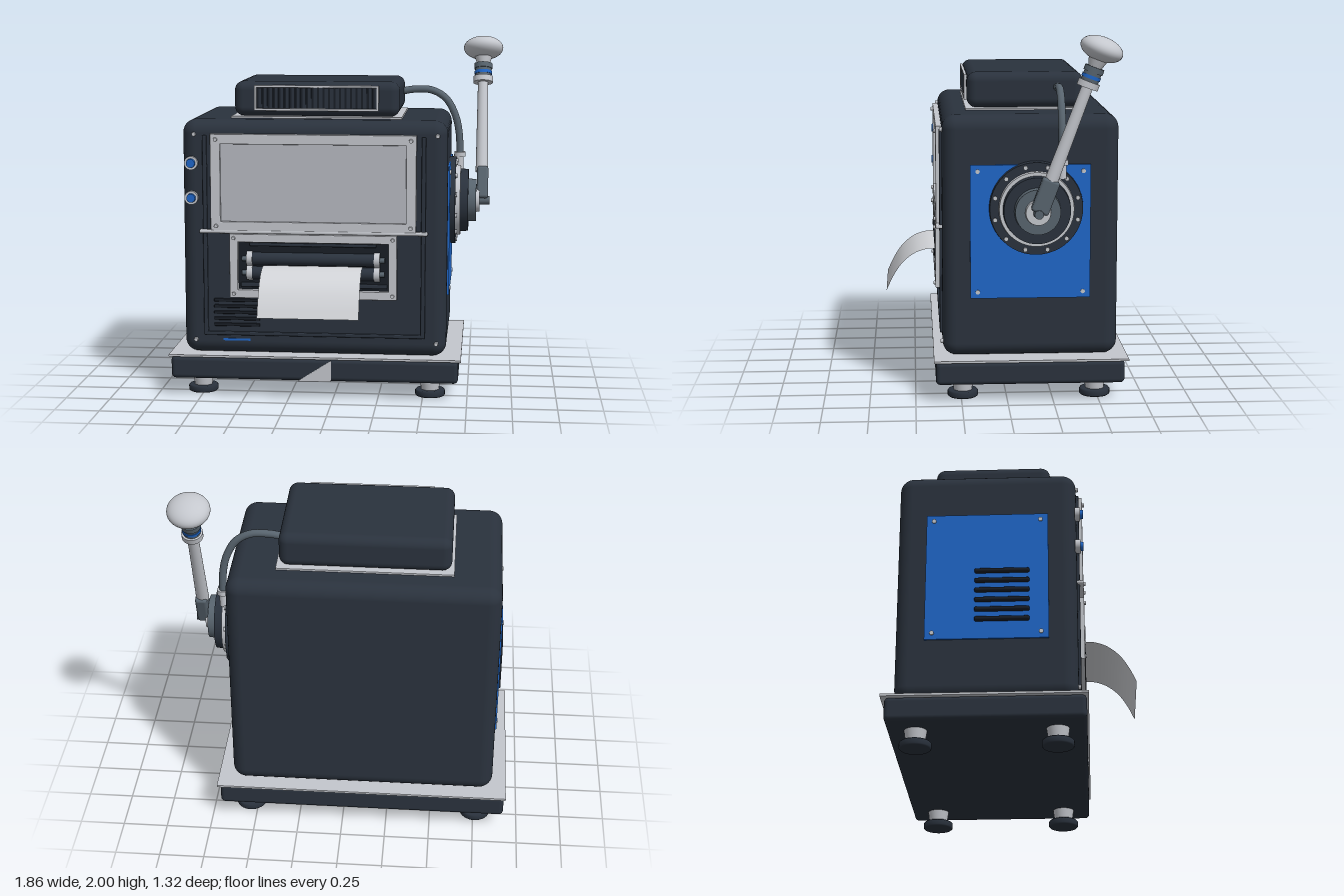
import * as THREE from 'three';
import { RoundedBoxGeometry } from 'three/addons/geometries/RoundedBoxGeometry.js';

const mat = (name, color) => {
  const m = new THREE.MeshStandardMaterial({ color });
  m.name = name;
  return m;
};

export function createModel() {
  const dark = mat('dark casing', 0x2a323d);
  const black = mat('recess black', 0x191e26);
  const light = mat('light metal', 0xc4c7cd);
  const screenGrey = mat('screen grey', 0xb6b9c0);
  const grey = mat('steel grey', 0x58646e);
  const blue = mat('blue', 0x1f66c8);
  const paper = mat('paper', 0xd2d4d8);
  paper.side = THREE.DoubleSide;

  const model = new THREE.Group();
  model.name = 'leverPrinter';

  const add = (name, geo, material, x = 0, y = 0, z = 0, parent = model) => {
    const m = new THREE.Mesh(geo, material);
    m.name = name;
    m.position.set(x, y, z);
    parent.add(m);
    return m;
  };
  // Box given by its limits, rounded when r > 0
  const box = (name, material, [x0, x1], [y0, y1], [z0, z1], r = 0) => {
    const s = [x1 - x0, y1 - y0, z1 - z0];
    const geo = r ? new RoundedBoxGeometry(...s, 5, r) : new THREE.BoxGeometry(...s);
    return add(name, geo, material, (x0 + x1) / 2, (y0 + y1) / 2, (z0 + z1) / 2);
  };
  // Cylinder along a chosen axis, centred on the given point
  const rod = (name, material, axis, r, len, x, y, z, parent = model, rEnd = r, seg = 32) => {
    const geo = new THREE.CylinderGeometry(rEnd, r, len, seg);
    if (axis === 'x') geo.rotateZ(-Math.PI / 2);
    if (axis === 'z') geo.rotateX(Math.PI / 2);
    return add(name, geo, material, x, y, z, parent);
  };
  // Rectangular frame facing the front
  const frame = (name, material, [x0, x1], [y0, y1], border, z, depth, bevel = 0.004) => {
    const rect = (Type, i) => new Type().setFromPoints([
      new THREE.Vector2(x0 + i, y0 + i), new THREE.Vector2(x1 - i, y0 + i),
      new THREE.Vector2(x1 - i, y1 - i), new THREE.Vector2(x0 + i, y1 - i)]);
    const shape = rect(THREE.Shape, bevel);
    shape.holes.push(rect(THREE.Path, border - bevel));
    return add(name, new THREE.ExtrudeGeometry(shape, {
      depth: depth - 2 * bevel, bevelEnabled: true, bevelSize: bevel, bevelThickness: bevel, bevelSegments: 2,
    }), material, 0, 0, z + bevel);
  };
  const boltsFront = (name, xs, ys, z, r = 0.013) => {
    for (const x of xs) for (const y of ys) rod(name, light, 'z', r, 0.016, x, y, z, model, r * 0.8, 12);
  };

  // Base, plate and feet
  box('base', dark, [-0.92, 0.70], [0.10, 0.228], [-0.64, 0.39], 0.025);
  box('basePlate', light, [-0.93, 0.715], [0.228, 0.24], [-0.66, 0.40]);
  for (const x of [-0.76, 0.54]) for (const z of [-0.49, 0.24]) {
    add('footPad', new THREE.LatheGeometry([[0, 0], [0.078, 0], [0.084, 0.006], [0.084, 0.03], [0.078, 0.037], [0, 0.037]]
      .map(p => new THREE.Vector2(...p)), 32), dark, x, 0, z);
    rod('footStem', light, 'y', 0.05, 0.07, x, 0.07, z, model, 0.06);
  }
  const wedge = new THREE.Shape([[-0.2, 0.1], [-0.01, 0.1], [-0.01, 0.222]].map(p => new THREE.Vector2(...p)));
  add('baseTriangle', new THREE.ExtrudeGeometry(wedge, { depth: 0.004, bevelEnabled: false }), light, 0, 0, 0.389);

  // Main casing and top housing
  box('casing', dark, [-0.85, 0.63], [0.24, 1.565], [-0.605, 0.35], 0.075);
  box('topGasket', light, [-0.59, 0.37], [1.56, 1.575], [-0.445, 0.215]);
  box('topHousing', dark, [-0.575, 0.355], [1.575, 1.77], [-0.435, 0.205], 0.05);
  box('topVentBack', black, [-0.455, 0.235], [1.612, 1.745], [0.2, 0.207]);
  frame('topVentFrame', light, [-0.46, 0.24], [1.607, 1.75], 0.013, 0.203, 0.016, 0.002);
  for (let i = 0; i < 22; i++) {
    const x = -0.435 + i * 0.031;
    box('topVentSlat', dark, [x, x + 0.019], [1.622, 1.735], [0.205, 0.215]);
  }

  // Raised trim around the front panel
  for (const x of [-0.72, 0.5]) box('frontTrimSide', dark, [x - 0.012, x + 0.012], [0.35, 1.48], [0.345, 0.364], 0.006);
  box('frontTrimBottom', dark, [-0.73, 0.51], [0.35, 0.37], [0.345, 0.364], 0.006);
  boltsFront('casingBolt', [-0.78, 0.575], [0.32, 1.485], 0.355);

  // Display window
  box('screen', screenGrey, [-0.65, 0.42], [0.98, 1.45], [0.345, 0.366]);
  frame('screenFrame', light, [-0.685, 0.46], [0.945, 1.49], 0.056, 0.345, 0.037);
  boltsFront('screenBolt', [-0.655, 0.43], [0.975, 1.46], 0.385);
  box('shelfStrip', light, [-0.75, 0.525], [0.934, 0.954], [0.345, 0.384], 0.008);

  // Paper slot with rollers
  box('slotBack', black, [-0.54, 0.315], [0.61, 0.9], [0.345, 0.353]);
  frame('slotFrame', light, [-0.58, 0.355], [0.57, 0.932], 0.046, 0.345, 0.04);
  boltsFront('slotBolt', [-0.557, 0.332], [0.593, 0.909], 0.387, 0.012);
  box('slotBar', dark, [-0.47, 0.24], [0.862, 0.88], [0.35, 0.366], 0.006);
  box('slotLowerBar', dark, [-0.52, 0.3], [0.63, 0.655], [0.35, 0.366], 0.006);
  for (const y of [0.79, 0.71]) {
    rod('roller', dark, 'x', 0.036, 0.69, -0.113, y, 0.352);
    rod('rollerAxle', grey, 'x', 0.015, 0.8, -0.113, y, 0.358);
    for (const x of [-0.47, 0.244]) rod('rollerCap', light, 'x', 0.042, 0.032, x, y, 0.348);
  }

  // Curling sheet of paper
  const curl = new THREE.CatmullRomCurve3([[0.755, 0.37], [0.752, 0.43], [0.728, 0.5], [0.672, 0.57], [0.595, 0.622], [0.515, 0.66]]
    .map(([y, z]) => new THREE.Vector3(0, y, z)));
  const sheet = new THREE.PlaneGeometry(0.555, 1, 1, 20);
  const sp = sheet.attributes.position;
  for (let i = 0; i < sp.count; i++) {
    const p = curl.getPoint(0.5 - sp.getY(i));
    sp.setXYZ(i, sp.getX(i) - 0.112, p.y, p.z);
  }
  sheet.computeVertexNormals();
  add('paperSheet', sheet, paper);

  // Front louvres, blue strip and buttons
  for (let i = 0; i < 5; i++) {
    const y = 0.41 + i * 0.035;
    box('frontLouvre', black, [-0.675, -0.415], [y - 0.009, y + 0.009], [0.345, 0.36], 0.005);
  }
  box('blueStrip', blue, [-0.625, -0.47], [0.318, 0.33], [0.346, 0.354]);
  for (const y of [1.13, 1.325]) {
    rod('buttonBezel', light, 'z', 0.038, 0.03, -0.795, y, 0.357);
    rod('button', blue, 'z', 0.028, 0.035, -0.795, y, 0.37, model, 0.024);
  }

  // Blue side plates with bolts
  for (const [x, s] of [[0.63, 1], [-0.85, -1]]) {
    box('sidePlate', blue, [x - 0.01, x + 0.01], [0.57, 1.30], [-0.45, 0.20]);
    for (const y of [0.605, 1.265]) for (const z of [-0.41, 0.16])
      rod('sidePlateBolt', light, 'x', 0.012, 0.014, x + s * 0.01, y, z, model, 0.012, 12);
  }
  for (let i = 0; i < 6; i++) {
    const y = 0.68 + i * 0.056;
    box('sideLouvre', black, [-0.88, -0.85], [y - 0.012, y + 0.012], [-0.19, 0.10], 0.01);
  }

  // Stepped lever hub
  const hub = new THREE.Group();
  hub.name = 'leverHub';
  hub.position.set(0, 1.065, -0.155);
  model.add(hub);
  for (const [name, m, r, x0, x1] of [
    ['hubFlange', dark, 0.255, 0.63, 0.668], ['hubRing', light, 0.205, 0.66, 0.695],
    ['hubDrum', dark, 0.183, 0.69, 0.74], ['hubStep', grey, 0.125, 0.735, 0.785],
    ['hubCap', light, 0.07, 0.78, 0.805], ['hubPin', grey, 0.028, 0.8, 0.862]])
    rod(name, m, 'x', r, x1 - x0, (x0 + x1) / 2, 0, 0, hub, r - 0.004, 48);
  for (let i = 0; i < 12; i++) {
    const a = (i + 0.5) * Math.PI / 6;
    rod('hubBolt', light, 'x', 0.012, 0.014, 0.671, 0.23 * Math.cos(a), 0.23 * Math.sin(a), hub, 0.012, 12);
  }

  // Lever, leaning backwards
  const lever = new THREE.Group();
  lever.name = 'lever';
  lever.position.set(0.815, 1.065, -0.155);
  lever.rotation.x = -0.36;
  model.add(lever);
  add('leverSocket', new RoundedBoxGeometry(0.066, 0.19, 0.096, 4, 0.016), grey, 0.005, 0.1, 0, lever);
  rod('leverShaft', light, 'y', 0.036, 0.56, 0, 0.45, 0, lever, 0.03);
  rod('leverCollar', light, 'y', 0.058, 0.035, 0, 0.728, 0, lever);
  rod('leverNeck', grey, 'y', 0.047, 0.08, 0, 0.785, 0, lever);
  rod('leverBlueBand', blue, 'y', 0.051, 0.018, 0, 0.77, 0, lever);
  rod('leverUpperRing', grey, 'y', 0.053, 0.03, 0, 0.81, 0, lever);
  rod('knobStem', light, 'y', 0.035, 0.06, 0, 0.85, 0, lever, 0.055);
  add('knob', new THREE.SphereGeometry(0.116, 40, 24), light, 0, 0.924, 0, lever).scale.y = 0.56;

  // Cable from the top housing down to the hub
  const cable = new THREE.CatmullRomCurve3([[0.34, 1.685], [0.42, 1.697], [0.52, 1.692], [0.6, 1.645], [0.655, 1.55], [0.68, 1.44], [0.685, 1.31]]
    .map(([x, y]) => new THREE.Vector3(x, y, -0.29)));
  add('cable', new THREE.TubeGeometry(cable, 48, 0.021, 14), grey);
  rod('cableCollar', light, 'y', 0.033, 0.028, 0.685, 1.318, -0.29);
  rod('cablePlug', light, 'y', 0.024, 0.08, 0.682, 1.27, -0.29);

  return model;
}
